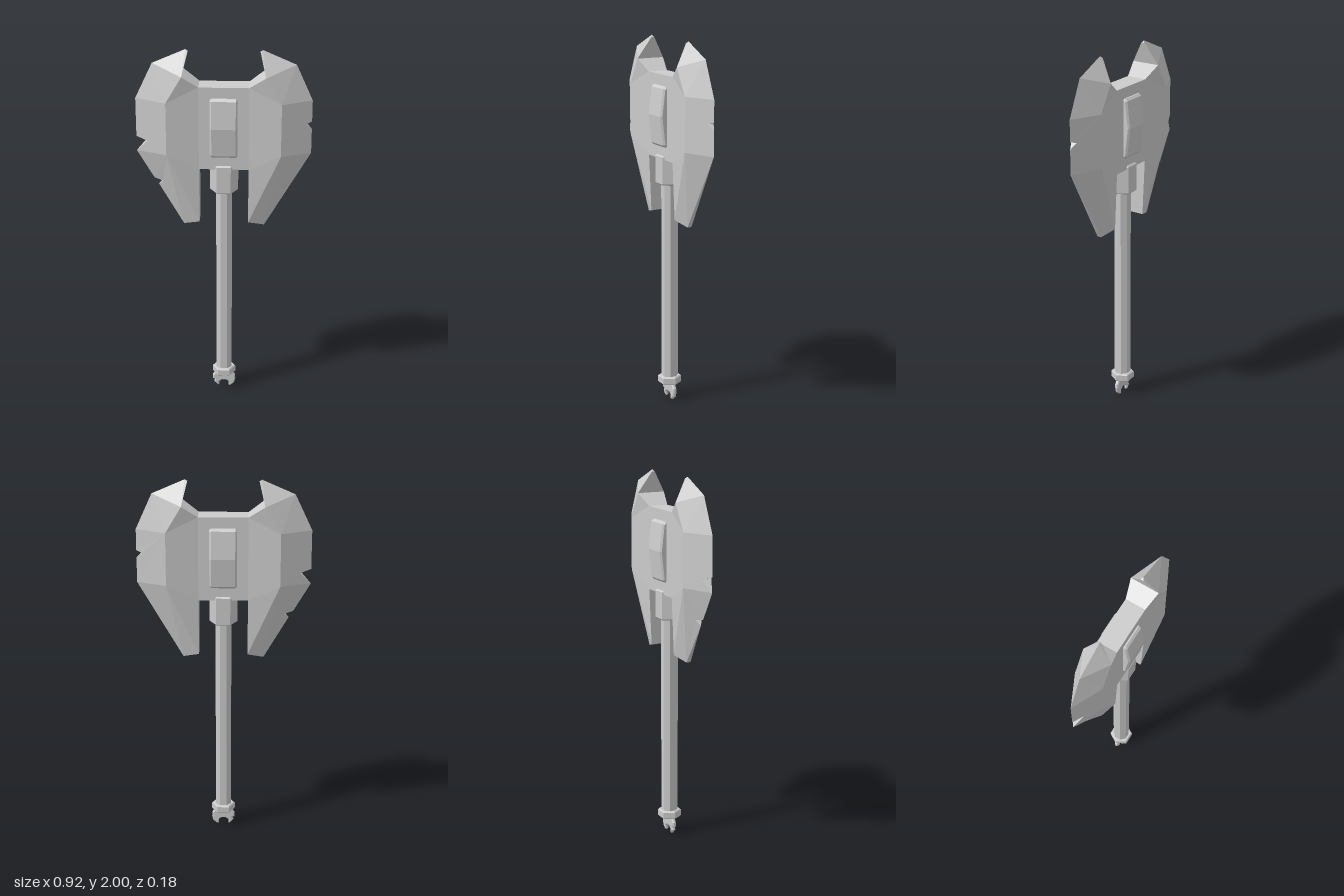
import * as THREE from 'three';

const material = new THREE.MeshStandardMaterial({ color: 0xcccccc, flatShading: true, side: THREE.DoubleSide });

function part(name, geometry, y = 0) {
  const mesh = new THREE.Mesh(geometry, material);
  mesh.name = name;
  mesh.position.y = y;
  return mesh;
}

// Half of the axe head: facets drawn on the front, mirrored to the back, joined by a rim.
function bladeGeometry(side, edgeNotch, lowerNotch, edgeX) {
  const topMid = [0, 1.815, 0.055], lowMid = [0, 1.365, 0.055];
  const top = [0.13, 1.815, 0.055], low = [0.13, 1.365, 0.055];
  const ridge = [[0.215, 1.875, 0.078], [0.298, 1.735, 0.078], [0.298, 1.45, 0.078]];
  const heel = [0.13, 1.055, 0.042], toe = [0.215, 1.03, 0.012];
  const tipIn = [0.185, 1.99, 0.008], tip = [0.198, 2, 0];
  const shoulder = [0.37, 1.925, 0], upper = [edgeX, 1.735, 0], lower = [edgeX, 1.445, 0];
  const facets = [
    [topMid, lowMid, low, top],
    [top, ridge[1], ridge[0]],
    [top, low, ridge[2], ridge[1]],
    [low, heel, ridge[2]],
    [ridge[0], shoulder, tip, tipIn],
    [ridge[0], ridge[1], shoulder],
    [ridge[1], upper, shoulder],
    [ridge[1], ridge[2], lower, ...[...edgeNotch].reverse(), upper],
    [ridge[2], heel, toe, ...[...lowerNotch].reverse(), lower],
  ];
  const outline = [topMid, top, ridge[0], tipIn, tip, shoulder, upper, ...edgeNotch,
    lower, ...lowerNotch, toe, heel, low, lowMid];

  const pos = [];
  const tri = (a, b, c) => {
    for (const p of side > 0 ? [a, b, c] : [a, c, b]) pos.push(p[0] * side, p[1], p[2]);
  };
  const back = ([x, y, z]) => [x, y, -z];
  for (const facet of facets) {
    const flat = facet.map(([x, y]) => new THREE.Vector2(x, y));
    for (const ids of THREE.ShapeUtils.triangulateShape(flat, [])) {
      let [a, b, c] = ids.map((i) => facet[i]);
      const turn = (b[0] - a[0]) * (c[1] - a[1]) - (b[1] - a[1]) * (c[0] - a[0]);
      if (turn < 0) [b, c] = [c, b];
      tri(a, b, c);
      tri(back(a), back(c), back(b));
    }
  }
  // rim between front and back; sharp points need only one triangle
  for (let i = 0; i < outline.length - 1; i++) {
    const a = outline[i], b = outline[i + 1];
    if (a[2] > 0) tri(a, b, back(a));
    if (b[2] > 0) tri(b, back(b), back(a));
  }
  const geometry = new THREE.BufferGeometry();
  geometry.setAttribute('position', new THREE.Float32BufferAttribute(pos, 3));
  geometry.computeVertexNormals();
  return geometry;
}

// Flat outline extruded about z = 0 with a small chamfer
function plate(points, thickness, bevel) {
  const shape = new THREE.Shape(points.map(([x, y]) => new THREE.Vector2(x, y)));
  const depth = thickness - 2 * bevel;
  return new THREE.ExtrudeGeometry(shape, {
    depth, bevelEnabled: true, bevelThickness: bevel, bevelSize: bevel, bevelOffset: -bevel, bevelSegments: 1,
  }).translate(0, 0, -depth / 2);
}

// Six-sided collar with chamfered ends, corners on the x axis
function collar(radius, height, chamfer) {
  const h = height / 2;
  const profile = [[0, -h], [radius - chamfer, -h], [radius, -h + chamfer],
    [radius, h - chamfer], [radius - chamfer, h], [0, h]];
  return new THREE.LatheGeometry(profile.map(([x, y]) => new THREE.Vector2(x, y)), 6, Math.PI / 2);
}

export function createModel() {
  const axe = new THREE.Group();
  axe.name = 'doubleAxe';

  // Chipped blades
  axe.add(part('leftBlade', bladeGeometry(1,
    [[0.456, 1.62, 0], [0.425, 1.61, 0.016], [0.456, 1.58, 0]], [], 0.456)));
  axe.add(part('rightBlade', bladeGeometry(-1,
    [[0.46, 1.525, 0], [0.4, 1.51, 0.029]],
    [[0.37, 1.29, 0], [0.322, 1.28, 0.019], [0.347, 1.255, 0]], 0.46)));

  // Raised block through the head, peaked at mid height on both faces
  const half = [[0.062, 1.435], [0.074, 1.447], [0.092, 1.6], [0.074, 1.745], [0.062, 1.757]];
  const block = [...half, ...half.map(([z, y]) => [-z, y]).reverse()];
  axe.add(part('headBlock', plate(block, 0.144, 0.009).rotateY(Math.PI / 2)));

  // Handle
  const shaft = new THREE.CylinderGeometry(0.0455, 0.0455, 1.28, 8).rotateY(Math.PI / 8);
  axe.add(part('shaft', shaft, 0.74));
  axe.add(part('headCollar', collar(0.075, 0.16, 0.007), 1.305));
  axe.add(part('baseCollar', collar(0.064, 0.045, 0.006), 0.113));

  // Thin claw at the foot, open downwards
  const claw = [[-0.045, 0.095], [-0.063, 0.07], [-0.064, 0.045], [-0.05, 0.04], [-0.056, 0.025],
    [-0.035, 0.002], [-0.028, 0.004], [-0.028, 0.025], [-0.012, 0.037], [0.012, 0.037],
    [0.026, 0.025], [0.026, 0.004], [0.035, 0], [0.058, 0.02], [0.064, 0.045], [0.063, 0.07], [0.045, 0.095]];
  axe.add(part('footClaw', plate(claw.reverse(), 0.022, 0.006)));

  return axe;
}
